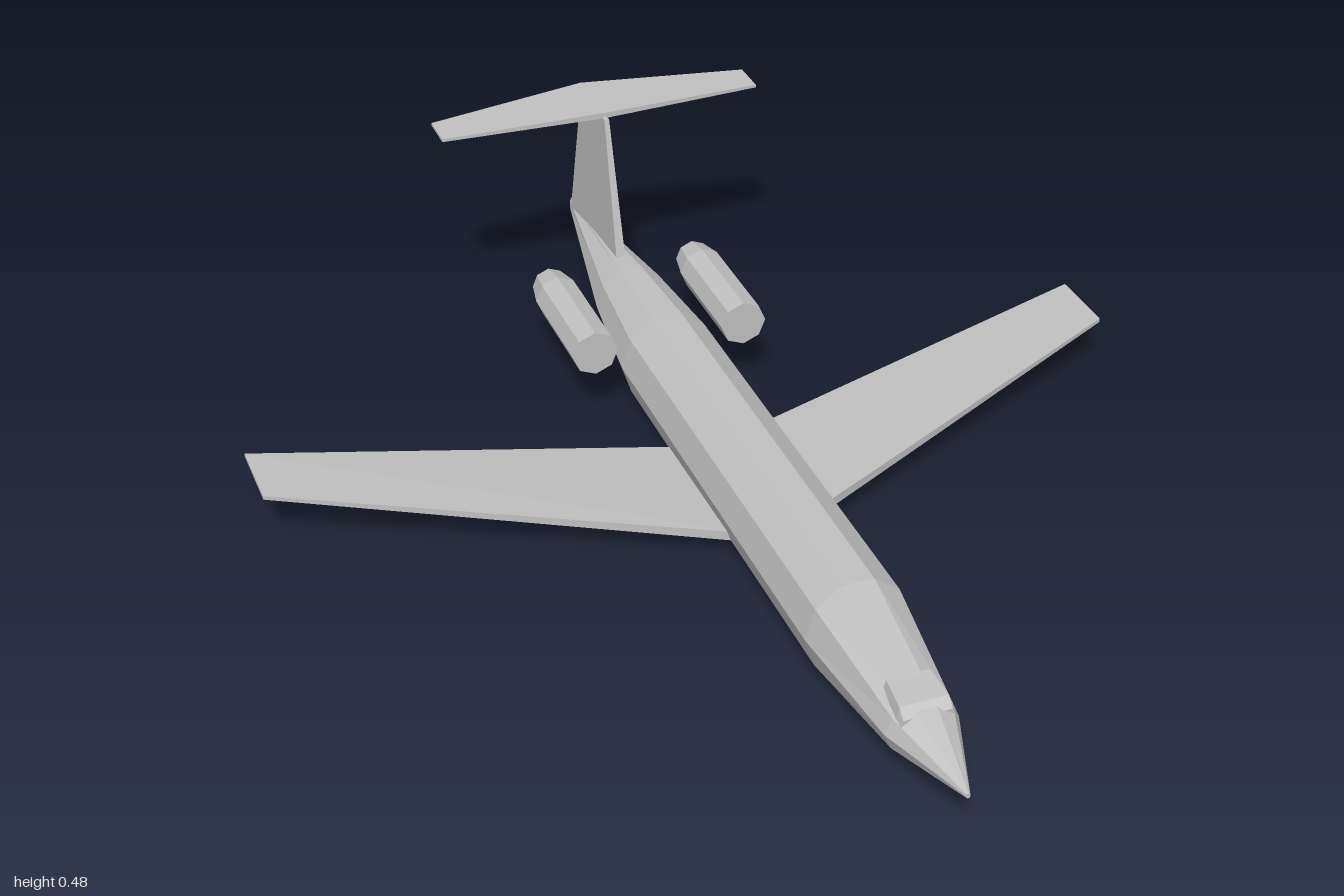
import * as THREE from 'three';

const airframeGrey = new THREE.MeshStandardMaterial({ color: 0xc0c0c0, flatShading: true });
airframeGrey.name = 'airframeGrey';

// Closed faceted solid through rings of equal point count; winding is fixed by signed volume
function loft(name, rings) {
  const tris = [];
  const n = rings[0].length;
  for (let r = 0; r < rings.length - 1; r++) {
    for (let i = 0; i < n; i++) {
      const j = (i + 1) % n;
      const a = rings[r][i], b = rings[r][j], c = rings[r + 1][j], d = rings[r + 1][i];
      tris.push([a, b, c], [a, c, d]);
    }
  }
  const last = rings[rings.length - 1];
  for (let i = 1; i < n - 1; i++) {
    tris.push([rings[0][0], rings[0][i + 1], rings[0][i]], [last[0], last[i], last[i + 1]]);
  }
  let volume = 0;
  for (const [a, b, c] of tris) volume += a.dot(b.clone().cross(c));
  const pos = [];
  for (const [a, b, c] of tris) {
    for (const p of volume < 0 ? [a, c, b] : [a, b, c]) pos.push(p.x, p.y, p.z);
  }
  const geo = new THREE.BufferGeometry();
  geo.setAttribute('position', new THREE.Float32BufferAttribute(pos, 3));
  geo.computeVertexNormals();
  const mesh = new THREE.Mesh(geo, airframeGrey);
  mesh.name = name;
  return mesh;
}

const V = (x, y, z) => new THREE.Vector3(x, y, z);

// Elliptical polygon ring across the z axis
function ring(sides, cx, cy, z, rx, ry) {
  return Array.from({ length: sides }, (_, i) => {
    const t = (i / sides) * Math.PI * 2;
    return V(cx + rx * Math.cos(t), cy + ry * Math.sin(t), z);
  });
}

export function createModel() {
  const model = new THREE.Group();
  model.name = 'businessJet';

  // Ten-sided fuselage: z, half width, bottom, top
  const stations = [
    [1, 0.004, 0.074, 0.084],
    [0.82, 0.068, 0.035, 0.138],
    [0.55, 0.098, 0, 0.196],
    [-0.4, 0.098, 0, 0.196],
    [-0.62, 0.075, 0.035, 0.188],
    [-1, 0.006, 0.125, 0.161],
  ];
  model.add(loft('fuselage', stations.map(([z, w, lo, hi]) =>
    ring(10, 0, (lo + hi) / 2, z, w, (hi - lo) / 2 / Math.sin(Math.PI * 0.4)))));

  // Cockpit hood: z, bottom half width, top half width, top
  model.add(loft('cockpitHood', [
    [0.842, 0.05, 0.045, 0.126],
    [0.825, 0.052, 0.045, 0.143],
    [0.76, 0.052, 0.04, 0.15],
  ].map(([z, b, t, y]) => [V(-b, 0.112, z), V(b, 0.112, z), V(t, y, z), V(-t, y, z)])));

  for (const side of [1, -1]) {
    const label = side > 0 ? 'left' : 'right';

    // Swept wing with dihedral
    const wingRing = (x, lead, trail, leadLow, leadHigh, trailLow, trailHigh) => [
      V(side * x, leadLow, lead), V(side * x, leadHigh, lead),
      V(side * x, trailHigh, trail), V(side * x, trailLow, trail),
    ];
    model.add(loft(label + 'Wing', [
      wingRing(0.04, 0.168, -0.166, 0.034, 0.054, 0.026, 0.04),
      wingRing(0.87, -0.205, -0.36, 0.1, 0.108, 0.1, 0.106),
    ]));

    // Eight-sided engine nacelle
    model.add(loft(label + 'Engine', [
      [-0.385, 0.047], [-0.62, 0.047], [-0.68, 0.035],
    ].map(([z, r]) => ring(8, side * 0.157, 0.153, z, r, r))));
  }

  // Tail fin: y, half thickness, front, back
  model.add(loft('tailFin', [
    [0.15, 0.01, -0.672, -0.978],
    [0.468, 0.005, -0.745, -0.895],
  ].map(([y, w, f, b]) => [V(-w, y, f), V(w, y, f), V(w, y, b), V(-w, y, b)])));

  // Tailplane across the top of the fin: x, front, back, half thickness
  model.add(loft('tailplane', [
    [-0.338, -0.775, -0.853, 0.003],
    [0, -0.762, -0.912, 0.006],
    [0.338, -0.775, -0.853, 0.003],
  ].map(([x, f, b, h]) => [V(x, 0.47 - h, f), V(x, 0.47 + h, f), V(x, 0.47 + h, b), V(x, 0.47 - h, b)])));

  return model;
}
